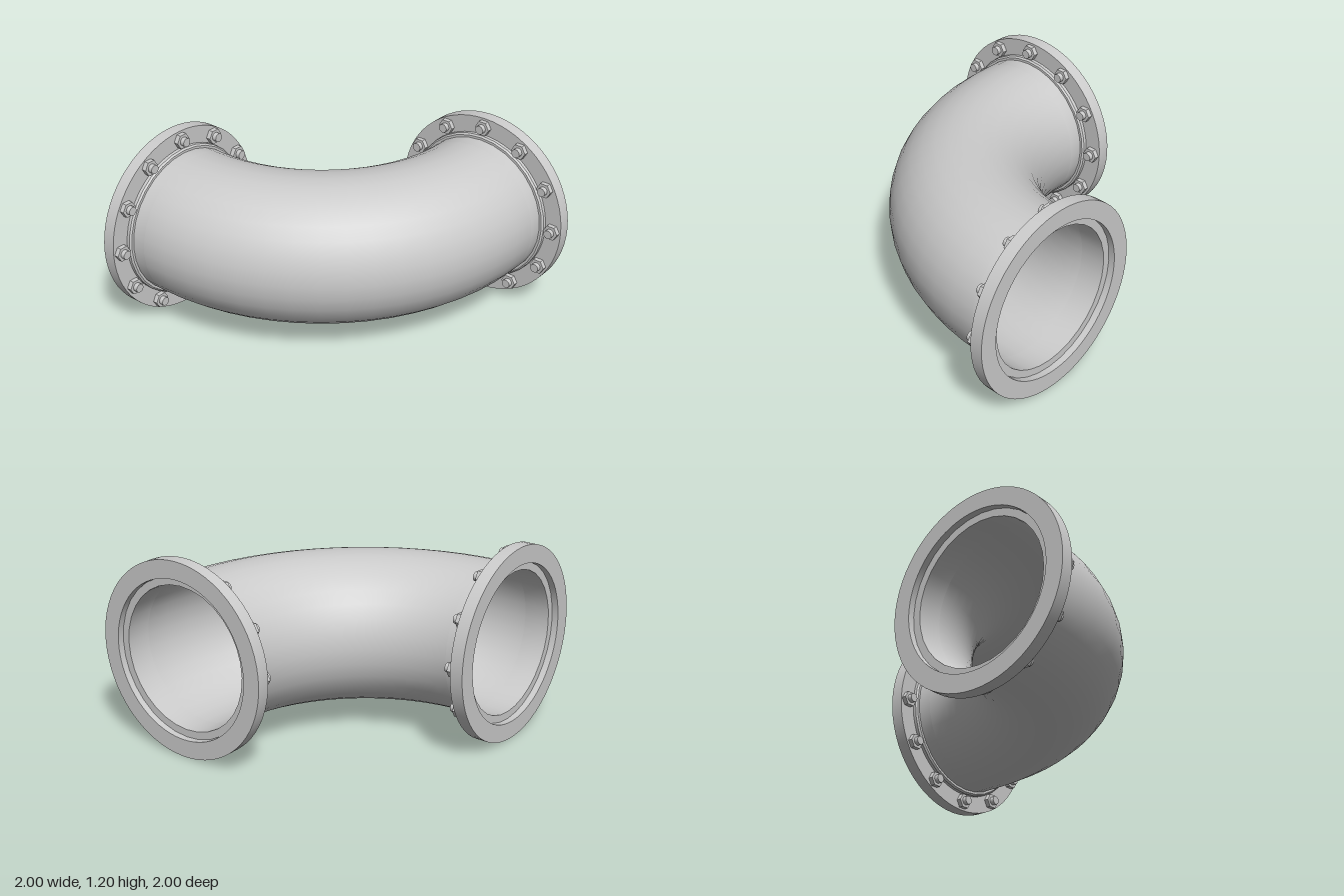
import * as THREE from 'three';
import { toCreasedNormals } from 'three/addons/utils/BufferGeometryUtils.js';

const OUTER = 0.465, INNER = 0.443, BEND = 1.2;
const grey = new THREE.MeshStandardMaterial({ color: 0xcccccc });
const greyInside = new THREE.MeshStandardMaterial({ color: 0xcccccc, side: THREE.BackSide });

function add(parent, name, geometry, material = grey) {
  const mesh = new THREE.Mesh(geometry, material);
  mesh.name = name;
  parent.add(mesh);
  return mesh;
}

// Turned part with crisp edges, axis along y
function turned(profile, segments) {
  const points = profile.map(([r, y]) => new THREE.Vector2(r, y));
  return toCreasedNormals(new THREE.LatheGeometry(points, segments), 0.5);
}

// Pipe end: mating face at y = 0, pipe running towards +y
function pipeEnd() {
  const end = new THREE.Group();
  add(end, 'flange', turned([[0.49, 0], [0.6, 0], [0.6, 0.08], [0.49, 0.08], [0.49, 0]], 64));

  // Straight pipe stub with its collar, set back inside the flange
  add(end, 'collar', turned([
    [INNER, 0.2], [INNER, 0.04], [0.49, 0.04], [0.49, 0.1], [0.48, 0.11], [OUTER, 0.11], [OUTER, 0.2],
  ], 32));

  // Ring of twelve nuts with bolt ends
  const nut = toCreasedNormals(new THREE.CylinderGeometry(0.05, 0.05, 0.03, 6).rotateY(Math.PI / 2), 0.5);
  const stud = toCreasedNormals(new THREE.CylinderGeometry(0.028, 0.028, 0.06, 16), 0.5);
  for (let i = 0; i < 12; i++) {
    const a = (i / 12) * Math.PI * 2;
    const bolt = new THREE.Group();
    bolt.name = 'bolt';
    bolt.position.set(0.542 * Math.cos(a), 0.08, 0.542 * Math.sin(a));
    add(bolt, 'nut', nut).position.y = 0.015;
    add(bolt, 'boltEnd', stud).position.y = 0.028;
    end.add(bolt);
  }
  return end;
}

export function createModel() {
  const model = new THREE.Group();
  model.name = 'pipeElbow';

  // Quarter bend, outer skin and bore
  const skins = [['bendOuter', OUTER, grey], ['bendBore', INNER, greyInside]];
  for (const [name, radius, material] of skins) {
    const geometry = new THREE.TorusGeometry(BEND, radius, 32, 16, Math.PI / 2).rotateX(Math.PI / 2);
    add(model, name, geometry, material).position.set(-0.8, 0.6, -0.8);
  }

  // Flanged ends facing the back and the right
  const back = pipeEnd();
  back.name = 'backEnd';
  back.rotation.x = Math.PI / 2;
  back.position.set(0.4, 0.6, -1);

  const side = pipeEnd();
  side.name = 'rightEnd';
  side.rotation.set(Math.PI / 2, Math.PI / 2, 0, 'YXZ');
  side.position.set(-1, 0.6, 0.4);

  model.add(back, side);
  return model;
}
